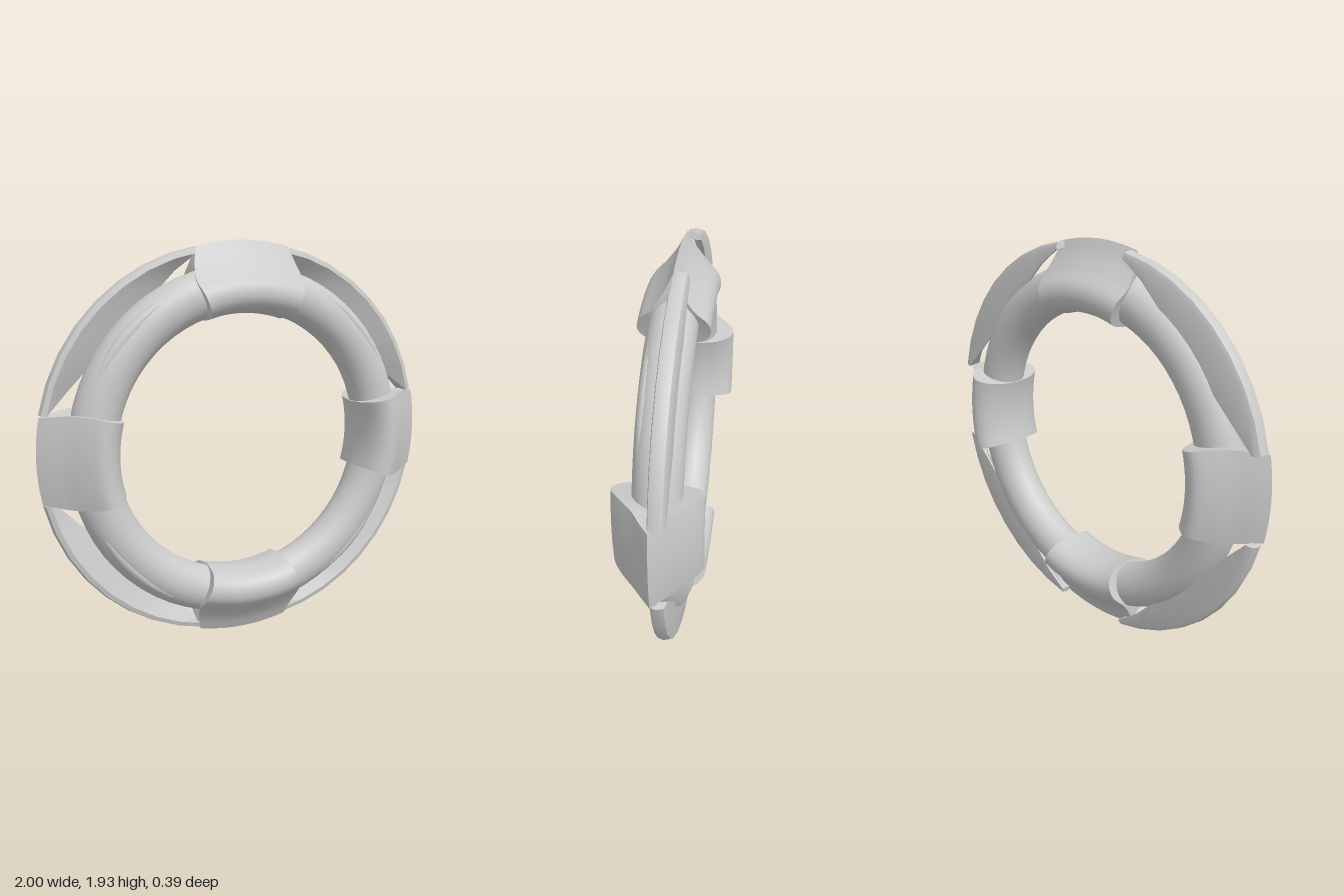
import * as THREE from 'three';
import { toCreasedNormals } from 'three/addons/utils/BufferGeometryUtils.js';

const CENTRE_Y = 0.965;
const rad = THREE.MathUtils.degToRad;
const polar = (r, a, z) => new THREE.Vector3(r * Math.cos(a), r * Math.sin(a), z);

// Capped skin over a row of closed cross-sections (arrays of Vector3)
function loft(sections, crease) {
  const n = sections[0].length, last = sections.length - 1;
  const pos = [], index = [];
  sections.forEach(s => s.forEach(p => pos.push(p.x, p.y, p.z)));
  for (let i = 0; i < last; i++) {
    for (let j = 0; j < n; j++) {
      const k = (j + 1) % n;
      const a = i * n + j, b = a + n, c = (i + 1) * n + k, d = i * n + k;
      index.push(a, b, c, a, c, d);
    }
  }
  for (const i of [0, last]) {
    const mid = sections[i].reduce((m, p) => m.add(p), new THREE.Vector3()).divideScalar(n);
    const m = pos.length / 3;
    pos.push(mid.x, mid.y, mid.z);
    for (let j = 0; j < n; j++) {
      const a = i * n + j, b = i * n + (j + 1) % n;
      if (i === 0) index.push(m, a, b);
      else index.push(m, b, a);
    }
  }
  const geo = new THREE.BufferGeometry();
  geo.setAttribute('position', new THREE.Float32BufferAttribute(pos, 3));
  geo.setIndex(index);
  return toCreasedNormals(geo, crease);
}

// Band wrapped round the ring: half profile of [radius, depth, half width]
function bandGeometry(half) {
  const curve = new THREE.CatmullRomCurve3(half.map(p => new THREE.Vector3(...p)));
  const front = curve.getPoints(22);
  const back = front.slice(1, -1).reverse().map(p => new THREE.Vector3(p.x, -p.y, p.z));
  const profile = [...front, ...back];
  const sections = [];
  for (let i = 0; i <= 12; i++) {
    const t = i / 6 - 1;
    sections.push(profile.map(p => polar(p.x, t * Math.asin(p.z / p.x), p.y)));
  }
  return loft(sections, rad(40));
}

// Outer grab line: arched rim with a web cut straight across on its inner side
function lineGeometry() {
  const from = rad(12), to = rad(77), mid = (from + to) / 2;
  const chord = 0.955 * Math.cos((to - from) / 2);
  const sections = [];
  for (let i = 0; i <= 8; i++) {
    const t = i / 8, a = from + (to - from) * t;
    const outer = 0.998 - 0.035 * t * t;
    const rim = outer - 0.03;
    const inner = Math.min(rim - 0.005, chord / Math.cos(a - mid));
    sections.push([
      [outer - 0.008, -0.055], [outer, -0.025], [outer - 0.008, 0.002],
      [rim, 0.008], [inner, -0.055], [inner, -0.065], [rim, -0.065],
    ].map(([r, z]) => polar(r, a, z)));
  }
  return loft(sections, rad(35));
}

// Slim crescent lying on the front shoulder of the ring, tapered to its ends
function crescentGeometry() {
  const sections = [];
  for (let i = 0; i <= 20; i++) {
    const t = i / 20, a = rad(22 + 43 * t);
    const size = 0.005 + 0.021 * Math.sin(Math.PI * t);
    const section = [];
    for (let j = 0; j < 10; j++) {
      const b = (j / 10) * Math.PI * 2;
      // Flattened oval, tilted to follow the ring surface
      const u = size * Math.cos(b), v = 0.5 * size * Math.sin(b);
      section.push(polar(0.815 + 0.72 * u + 0.69 * v, a, 0.076 - 0.69 * u + 0.72 * v));
    }
    sections.push(section);
  }
  return loft(sections, rad(50));
}

export function createModel() {
  const model = new THREE.Group();
  const material = new THREE.MeshStandardMaterial({ color: 0xcccccc, side: THREE.DoubleSide });
  const body = new THREE.Group();
  body.name = 'lifebuoy';
  body.position.y = CENTRE_Y;
  model.add(body);

  const add = (name, geometry, turn = 0) => {
    const mesh = new THREE.Mesh(geometry, material);
    mesh.name = name;
    mesh.rotation.z = turn;
    body.add(mesh);
    return mesh;
  };

  // Main float ring
  const ring = add('floatRing', new THREE.TorusGeometry(0.748, 0.112, 24, 64));
  ring.scale.z = 0.94;

  // Bands: the side pair is deeper than the top and bottom pair
  const sideBand = bandGeometry([
    [1.0, 0, 0.2], [0.95, 0.04, 0.205], [0.89, 0.085, 0.213], [0.81, 0.155, 0.208],
    [0.745, 0.195, 0.195], [0.69, 0.175, 0.182], [0.65, 0.11, 0.17], [0.628, 0, 0.165],
  ]);
  const topBand = bandGeometry([
    [0.965, 0, 0.235], [0.9, 0.035, 0.255], [0.83, 0.09, 0.268], [0.765, 0.148, 0.25],
    [0.7, 0.153, 0.225], [0.65, 0.11, 0.205], [0.628, 0, 0.195],
  ]);
  add('leftBand', sideBand);
  add('topBand', topBand, Math.PI / 2);
  add('rightBand', sideBand, Math.PI);
  add('bottomBand', topBand, -Math.PI / 2);

  // Grab lines and crescents in each quadrant, mirrored left-right and top-bottom
  const line = lineGeometry(), crescent = crescentGeometry();
  for (const sx of [1, -1]) {
    for (const sy of [1, -1]) {
      add('grabLine', line).scale.set(sx, sy, 1);
      add('crescentTrim', crescent).scale.set(sx, sy, 1);
    }
  }
  return model;
}
